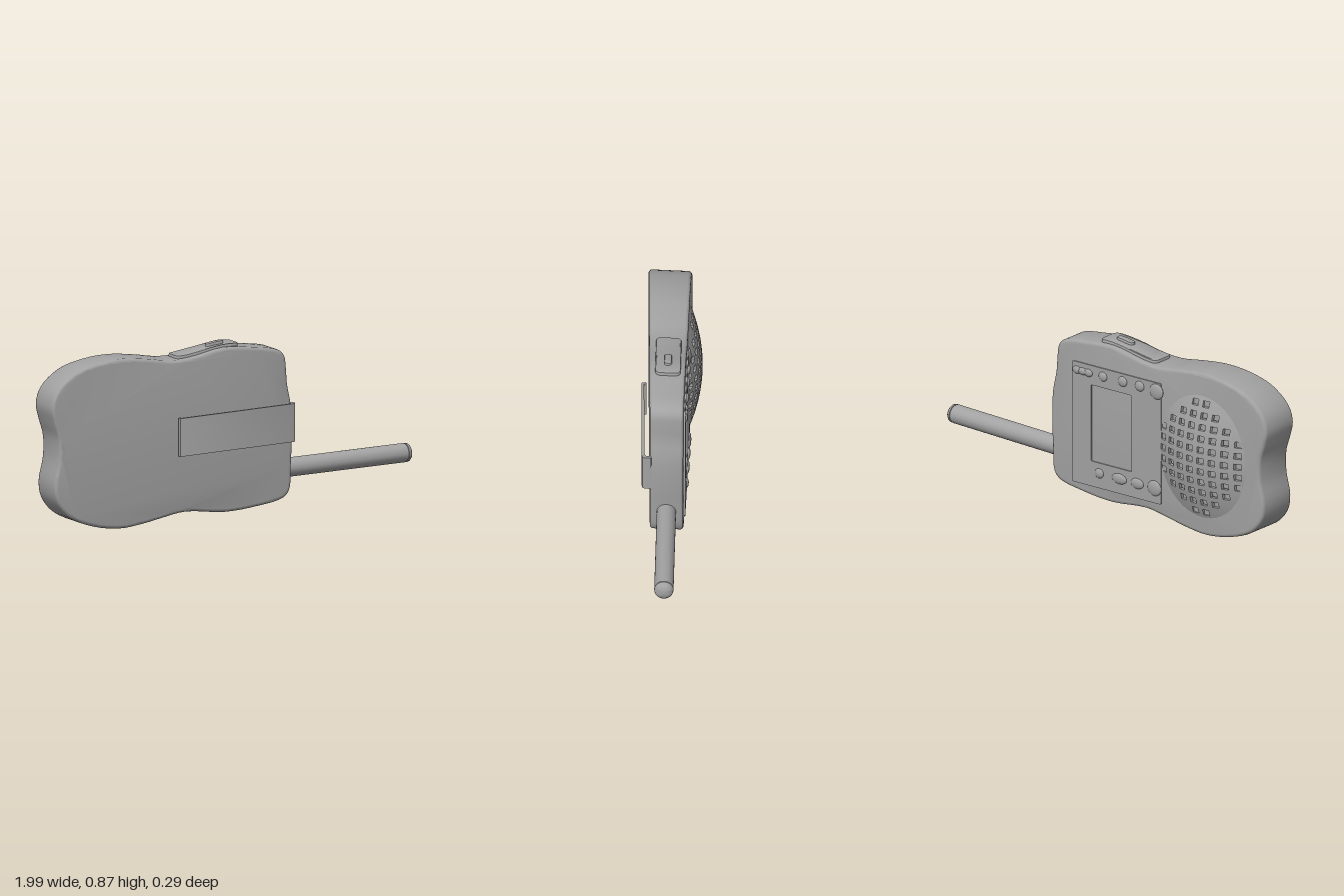
import * as THREE from 'three';
import { mergeGeometries, toCreasedNormals } from 'three/addons/utils/BufferGeometryUtils.js';

const gray = new THREE.MeshStandardMaterial({ color: 0xa2a2a2 });
gray.name = 'casing gray';

// Wedge-shaped case: z of the back and the front face along x
const backZ = (x) => -0.109 - 0.035 * x;
const frontZ = (x) => 0.066 - 0.0757 * x;

function bend(geo, rule) {
  const p = geo.attributes.position;
  const v = new THREE.Vector3();
  for (let i = 0; i < p.count; i++) {
    rule(v.fromBufferAttribute(p, i));
    p.setXYZ(i, v.x, v.y, v.z);
  }
  return geo;
}

function part(name, geo, crease = 0.6) {
  const mesh = new THREE.Mesh(toCreasedNormals(geo, crease), gray);
  mesh.name = name;
  return mesh;
}

function roundedRect(x0, y0, x1, y1, r) {
  const s = new THREE.Shape();
  s.moveTo(x0 + r, y0);
  s.lineTo(x1 - r, y0);
  s.absarc(x1 - r, y0 + r, r, -Math.PI / 2, 0);
  s.lineTo(x1, y1 - r);
  s.absarc(x1 - r, y1 - r, r, 0, Math.PI / 2);
  s.lineTo(x0 + r, y1);
  s.absarc(x0 + r, y1 - r, r, Math.PI / 2, Math.PI);
  s.lineTo(x0, y0 + r);
  s.absarc(x0 + r, y0 + r, r, Math.PI, Math.PI * 1.5);
  return s;
}

// Wavy hand-held case with a strap hole
function makeCase() {
  const outline = [
    [-0.995, 0.62], [-0.97, 0.7], [-0.87, 0.785], [-0.74, 0.825], [-0.605, 0.838], [-0.47, 0.827],
    [-0.34, 0.81], [-0.23, 0.817], [-0.045, 0.853], [0.115, 0.843], [0.25, 0.82], [0.28, 0.79],
    [0.29, 0.73], [0.296, 0.65], [0.317, 0.545], [0.323, 0.41], [0.317, 0.25], [0.308, 0.13],
    [0.275, 0.092], [0.14, 0.062], [-0.045, 0.045], [-0.26, 0.062], [-0.39, 0.04], [-0.5, 0.018],
    [-0.62, 0.005], [-0.765, 0.025], [-0.9, 0.08], [-0.965, 0.155], [-0.98, 0.24], [-0.957, 0.357],
    [-0.957, 0.464], [-0.98, 0.545],
  ].map(([x, y]) => new THREE.Vector3(x, y, 0)).reverse();
  const curve = new THREE.CatmullRomCurve3(outline, true, 'centripetal');
  const points = curve.getPoints(128).slice(0, -1).map((p) => new THREE.Vector2(p.x, p.y));
  const shape = new THREE.Shape(points);
  shape.holes.push(new THREE.Path().absellipse(-0.905, 0.41, 0.02, 0.06, 0, Math.PI * 2, true));
  const b = 0.016;
  const geo = new THREE.ExtrudeGeometry(shape, {
    depth: 0.2 - 2 * b, bevelThickness: b, bevelSize: b, bevelOffset: -b, bevelSegments: 3, curveSegments: 16,
  });
  bend(geo, (v) => {
    v.z = THREE.MathUtils.lerp(backZ(v.x), frontZ(v.x), (v.z + b) / 0.2);
  });
  return part('case', geo);
}

// Domed speaker grille on the back: a bent grid of tiles with the openings left out
function makeGrille() {
  const cx = -0.605, cy = 0.41, rx = 0.265, ry = 0.315;
  const lines = (count, pitch, half, rim) => {
    const out = [-rim];
    for (let i = 0; i < count; i++) {
      const c = (i - (count - 1) / 2) * pitch;
      out.push(c - half, c + half);
    }
    return [...out, rim];
  };
  const xs = lines(8, 0.065, 0.018, 0.272);
  const ys = lines(11, 0.056, 0.015, 0.33);
  const tiles = [];
  for (let i = 0; i < xs.length - 1; i++) {
    for (let j = 0; j < ys.length - 1; j++) {
      const mx = (xs[i] + xs[i + 1]) / 2, my = (ys[j] + ys[j + 1]) / 2;
      const isOpening = i % 2 === 1 && j % 2 === 1 && Math.hypot(mx / 0.25, my / 0.29) < 1;
      if (isOpening || Math.hypot(mx / rx, my / ry) > 1.1) continue;
      const tile = new THREE.BoxGeometry(xs[i + 1] - xs[i], ys[j + 1] - ys[j], 0.018);
      tiles.push(tile.translate(mx, my, 0.009));
    }
  }
  const geo = bend(mergeGeometries(tiles), (v) => {
    const height = 0.062 * (1 - (v.x / rx) ** 2 - (v.y / ry) ** 2);
    v.x += cx;
    v.y += cy;
    v.z += backZ(v.x) - height;
  });
  return part('speakerGrille', geo);
}

// Thin control panel on the back, framing the sunken screen
function makePanel() {
  const shape = roundedRect(-0.355, 0.105, 0.19, 0.73, 0.008);
  shape.holes.push(roundedRect(-0.175, 0.235, 0.073, 0.63, 0.006));
  const geo = new THREE.ExtrudeGeometry(shape, { depth: 0.006, bevelEnabled: false, curveSegments: 3 });
  return part('controlPanel', bend(geo, (v) => { v.z += backZ(v.x) - 0.006; }));
}

// Domed keys: x, y, half width, half height
function makeButtons() {
  const group = new THREE.Group();
  group.name = 'buttons';
  const keys = [
    [0.16, 0.688, 0.026, 0.02], [0.125, 0.688, 0.03, 0.018], [0.09, 0.688, 0.026, 0.02],
    [0, 0.688, 0.026, 0.024], [-0.12, 0.69, 0.028, 0.026], [-0.225, 0.69, 0.028, 0.026],
    [-0.328, 0.685, 0.042, 0.04], [0.023, 0.182, 0.027, 0.025], [-0.1, 0.182, 0.046, 0.027],
    [-0.21, 0.182, 0.04, 0.027], [-0.315, 0.182, 0.042, 0.04],
  ];
  for (const [x, y, w, h] of keys) {
    const key = new THREE.Mesh(new THREE.SphereGeometry(1, 20, 12), gray);
    key.name = 'button';
    key.scale.set(w, h, 0.012);
    key.position.set(x, y, backZ(x) - 0.005);
    group.add(key);
  }
  return group;
}

// Pads on the upper edge follow its curve
function makeTopPad(name, x0, x1, halfDepth, r, lift, height) {
  const outline = roundedRect(x0, -halfDepth, x1, halfDepth, r).getSpacedPoints(72).slice(0, -1);
  const b = height * 0.4;
  const geo = new THREE.ExtrudeGeometry(new THREE.Shape(outline), {
    depth: height + 0.02 - b, bevelThickness: b, bevelSize: b, bevelOffset: -b, bevelSegments: 2,
  });
  geo.rotateX(-Math.PI / 2);
  bend(geo, (v) => {
    v.y += 0.812 + 0.043 * THREE.MathUtils.smoothstep(v.x, -0.3, 0) + lift - 0.02;
    v.z -= 0.024 + 0.055 * v.x;
  });
  return part(name, geo);
}

// Belt clip on the front, hooked around the end of the case
function makeClip() {
  const profile = [
    [-0.31, 0.102], [-0.3, 0.102], [-0.298, 0.113], [0.29, 0.07], [0.306, 0.062], [0.306, 0.035],
    [0.325, 0.035], [0.325, 0.066], [0.318, 0.078], [0.3, 0.083], [-0.3, 0.127], [-0.309, 0.124],
  ].map(([x, z]) => new THREE.Vector2(x, -z));
  const geo = new THREE.ExtrudeGeometry(new THREE.Shape(profile), { depth: 0.188, bevelEnabled: false });
  geo.rotateX(-Math.PI / 2);
  return part('beltClip', bend(geo, (v) => { v.y += 0.356 + 0.047 * v.x; }));
}

// Antenna rod with a grooved, domed tip
function makeAntenna() {
  const base = new THREE.Vector3(0.25, 0.224, -0.035);
  const tip = new THREE.Vector3(0.998, 0.257, -0.074);
  const axis = tip.clone().sub(base);
  const len = axis.length();
  const profile = [
    [0, 0], [0.047, 0], [0.047, len - 0.034], [0.043, len - 0.033], [0.043, len - 0.029], [0.047, len - 0.028],
    [0.044, len - 0.017], [0.035, len - 0.008], [0.02, len - 0.002], [0, len],
  ].map(([r, y]) => new THREE.Vector2(r, y));
  const mesh = part('antenna', new THREE.LatheGeometry(profile, 28));
  mesh.position.copy(base);
  mesh.quaternion.setFromUnitVectors(new THREE.Vector3(0, 1, 0), axis.normalize());
  return mesh;
}

export function createModel() {
  const model = new THREE.Group();
  model.name = 'handheldRadio';
  model.add(
    makeCase(), makeGrille(), makePanel(), makeButtons(), makeClip(), makeAntenna(),
    makeTopPad('talkButton', -0.295, 0.042, 0.062, 0.025, 0, 0.014),
    makeTopPad('talkButtonRidge', -0.115, -0.02, 0.018, 0.016, 0.013, 0.012),
  );
  return model;
}
